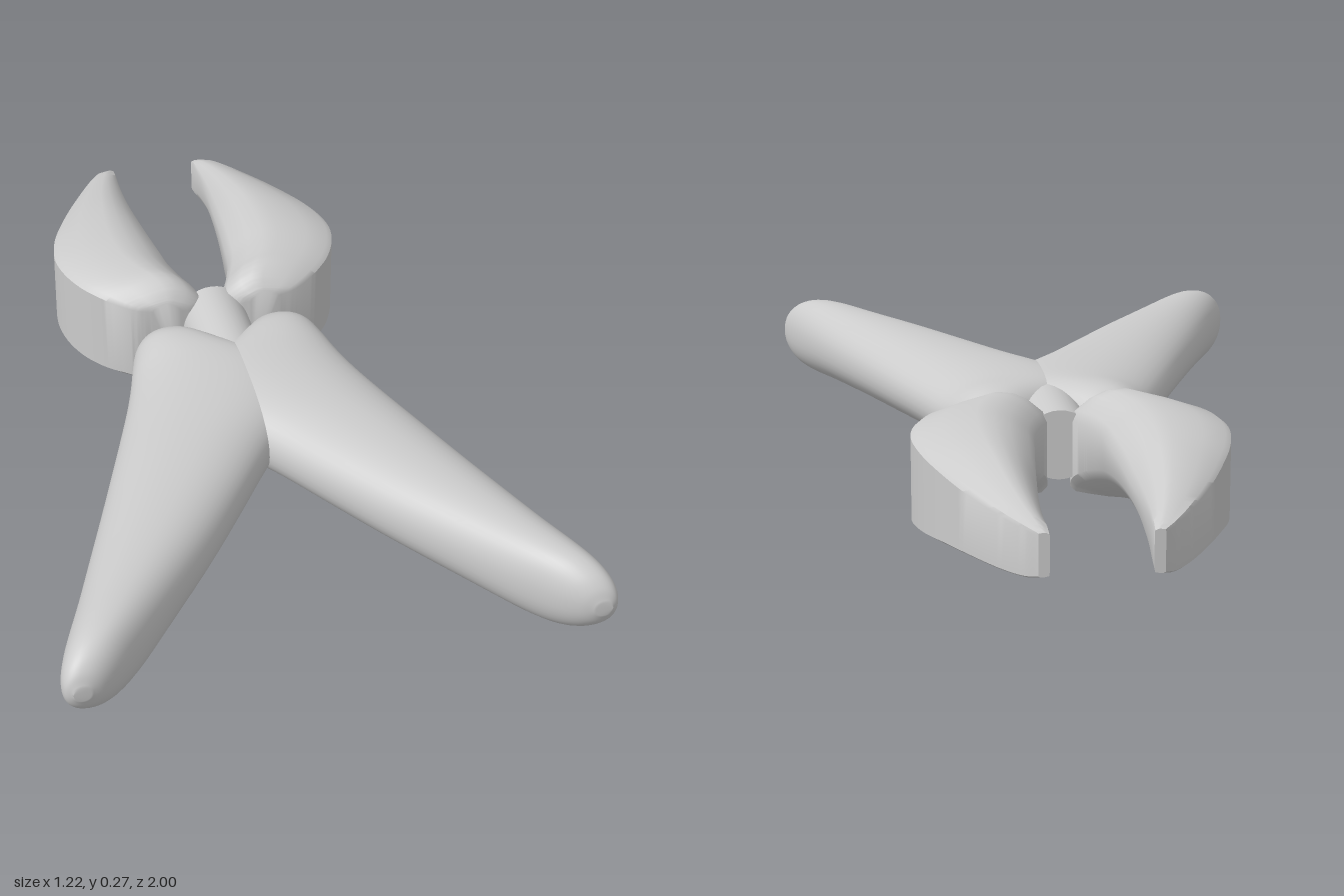
import * as THREE from 'three';
import { toCreasedNormals } from 'three/addons/utils/BufferGeometryUtils.js';

const material = new THREE.MeshStandardMaterial({ color: 0xcccccc });

// Smoothly resample a table of cross-section parameters.
function resample(table, count) {
  const curve = (k) => new THREE.CatmullRomCurve3(
    table.map((r) => new THREE.Vector3(r[k], r[k + 1], r[k + 2])), false, 'catmullrom', 0.5);
  const first = curve(0), second = curve(3);
  return Array.from({ length: count + 1 }, (_, i) =>
    [...first.getPoint(i / count).toArray(), ...second.getPoint(i / count).toArray()]);
}

// Skin a list of rings and close both ends; side = -1 mirrors across x = 0.
function loft(rings, side, crease) {
  const n = rings[0].length, pos = [], index = [];
  const tri = (a, b, c) => index.push(...(side > 0 ? [a, b, c] : [a, c, b]));
  rings.forEach((ring) => ring.forEach(([x, y, z]) => pos.push(side * x, y, z)));
  for (let r = 0; r < rings.length - 1; r++) {
    for (let j = 0; j < n; j++) {
      const a = r * n + j, b = r * n + (j + 1) % n;
      tri(a, b, a + n);
      tri(b, b + n, a + n);
    }
  }
  const last = (rings.length - 1) * n;
  for (let j = 1; j < n - 1; j++) {
    tri(0, j + 1, j);
    tri(last, last + j, last + j + 1);
  }
  const geo = new THREE.BufferGeometry();
  geo.setAttribute('position', new THREE.Float32BufferAttribute(pos, 3));
  geo.setIndex(index);
  if (crease) return toCreasedNormals(geo, crease);
  geo.computeVertexNormals();
  return geo;
}

// Handle: z, inner x, outer x, half height
function handleGeometry(side) {
  const table = [
    [-0.196, 0.12, 0.165, 0.012], [-0.19, 0.095, 0.183, 0.035], [-0.17, 0.066, 0.208, 0.065],
    [-0.13, 0.035, 0.23, 0.09], [-0.08, -0.02, 0.245, 0.099], [0, -0.12, 0.267, 0.1],
    [0.08, -0.14, 0.292, 0.1], [0.18, -0.1, 0.327, 0.1], [0.31, -0.002, 0.374, 0.1],
    [0.45, 0.092, 0.425, 0.1], [0.6, 0.195, 0.481, 0.1], [0.75, 0.308, 0.537, 0.1],
    [0.86, 0.393, 0.58, 0.1], [0.92, 0.445, 0.601, 0.093], [0.96, 0.485, 0.61, 0.074],
    [0.985, 0.52, 0.606, 0.048], [0.998, 0.552, 0.59, 0.018],
  ].map((r) => [...r, 0, 0]);
  const power = (v) => Math.sign(v) * Math.abs(v) ** 0.92;
  const rings = resample(table, 96).map(([z, a, b, h]) =>
    Array.from({ length: 40 }, (_, j) => {
      const t = j / 40 * Math.PI * 2;
      return [(a + b) / 2 + (b - a) / 2 * power(Math.cos(t)), 0.14 + h * power(Math.sin(t)), z];
    }));
  return loft(rings, side);
}

// Jaw: z, inner x, outer x, ridge y, outer edge y, bottom y
function jawGeometry(side) {
  const table = [
    [-0.235, 0.09, 0.16, 0.225, 0.215, 0.006], [-0.243, 0.055, 0.2, 0.238, 0.22, 0.003],
    [-0.265, 0.028, 0.24, 0.26, 0.227, 0.002], [-0.3, 0.033, 0.28, 0.276, 0.234, 0.003],
    [-0.35, 0.053, 0.318, 0.277, 0.237, 0.006], [-0.42, 0.073, 0.347, 0.275, 0.237, 0.01],
    [-0.5, 0.082, 0.357, 0.271, 0.232, 0.016], [-0.6, 0.092, 0.34, 0.261, 0.222, 0.023],
    [-0.7, 0.10, 0.304, 0.246, 0.207, 0.031], [-0.8, 0.107, 0.26, 0.223, 0.192, 0.04],
    [-0.9, 0.11, 0.207, 0.196, 0.178, 0.047], [-0.97, 0.108, 0.163, 0.175, 0.168, 0.055],
    [-1, 0.108, 0.132, 0.16, 0.158, 0.064],
  ];
  const rings = resample(table, 72).map(([z, a, b, ridge, edge, low]) => {
    const k = Math.min(1, (b - a) / 0.2); // fade the crown towards the ends
    // bevel the underside up to a thinner inner edge at mid length
    const s = THREE.MathUtils.clamp((-z - 0.27) / 0.73, 0, 1) ** 0.75;
    const lift = 0.025 * k + 0.085 * Math.max(0, Math.sin(Math.PI * s)) ** 0.8;
    return [
      [0.06, low + lift * 0.85], [0, low + lift + 0.01], [0, edge - 0.035 * k],
      [0.05, edge - 0.01 * k], [0.2, ridge - 0.018 * k], [0.33, ridge - 0.004 * k], [0.47, ridge],
      [0.75, edge + (ridge - edge) * 0.55], [0.95, edge + 0.005 * k], [1, edge - 0.006],
      [1, low + 0.02 * k], [0.94, low + 0.012 * k], [0.8, low + 0.004 * k],
      [0.62, low + lift * 0.05], [0.42, low + lift * 0.22], [0.22, low + lift * 0.54],
    ].map(([u, y]) => [a + (b - a) * u, y, z]);
  });
  return loft(rings, side, 0.6);
}

export function createModel() {
  const group = new THREE.Group();
  const add = (name, geo) => {
    const mesh = new THREE.Mesh(geo, material);
    mesh.name = name;
    group.add(mesh);
    return mesh;
  };

  for (const [label, side] of [['left', 1], ['right', -1]]) {
    add(label + 'Handle', handleGeometry(side));
    add(label + 'Jaw', jawGeometry(side));
  }

  // Round neck joining the handles to the jaws
  const neck = add('neck', new THREE.CylinderGeometry(0.083, 0.083, 0.34, 32).rotateX(Math.PI / 2));
  neck.position.set(0, 0.142, -0.12);
  return group;
}
